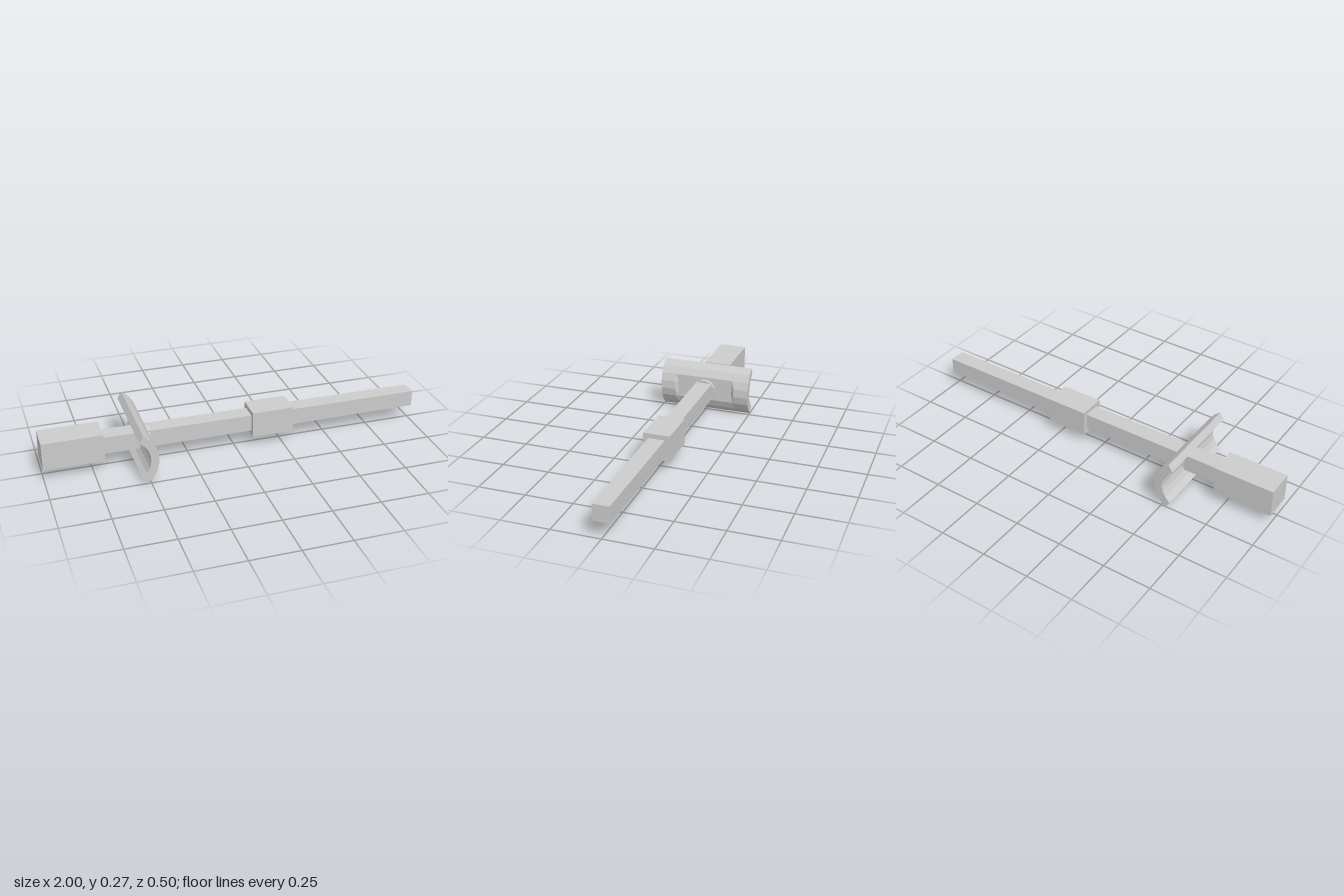
import * as THREE from 'three';

const material = new THREE.MeshStandardMaterial({ color: 0xcccccc, flatShading: true });
const guardMaterial = new THREE.MeshStandardMaterial({ color: 0xcccccc, flatShading: true, side: THREE.DoubleSide });

// Box given by its limits on each axis
function block(name, [x0, x1], [y0, y1], [z0, z1]) {
  const mesh = new THREE.Mesh(new THREE.BoxGeometry(x1 - x0, y1 - y0, z1 - z0), material);
  mesh.name = name;
  mesh.position.set((x0 + x1) / 2, (y0 + y1) / 2, (z0 + z1) / 2);
  return mesh;
}

// Curved plate: an arc section swept along z, its crown planed flat in the middle
function guardGeometry() {
  const segments = 7, cx = -0.615, cy = 0.129, flatX = -0.472;
  const arc = (radius) => Array.from({ length: segments + 1 }, (_, i) => {
    const a = THREE.MathUtils.degToRad(-54 + (112 * i) / segments);
    return [cx + radius * Math.cos(a), cy + radius * Math.sin(a)];
  });
  const profile = [...arc(0.16), ...arc(0.119).reverse()];
  const n = profile.length;
  const stations = [[-0.25, false], [-0.17, false], [-0.154, true], [0.154, true], [0.17, false], [0.25, false]];
  const rings = stations.map(([z, planed]) =>
    profile.map(([x, y]) => [planed ? Math.min(x, flatX) : x, y, z]));

  const positions = [];
  const quad = (a, b, c, d) => positions.push(...a, ...b, ...c, ...a, ...c, ...d);
  for (let s = 0; s < rings.length - 1; s++) {
    for (let i = 0; i < n; i++) {
      const j = (i + 1) % n;
      quad(rings[s][i], rings[s][j], rings[s + 1][j], rings[s + 1][i]);
    }
  }
  // End caps
  const back = rings[0], front = rings[rings.length - 1];
  for (let i = 0; i < segments; i++) {
    const k = n - 1 - i;
    quad(front[i], front[i + 1], front[k - 1], front[k]);
    quad(back[k], back[k - 1], back[i + 1], back[i]);
  }
  const geometry = new THREE.BufferGeometry();
  geometry.setAttribute('position', new THREE.Float32BufferAttribute(positions, 3));
  geometry.computeVertexNormals();
  return geometry;
}

export function createModel() {
  const group = new THREE.Group();
  group.name = 'poleWithGuard';

  // Square shaft, slightly thinner at the far end
  const shaft = block('shaft', [-0.72, 1], [0.082, 0.174], [-0.047, 0.043]);
  const p = shaft.geometry.attributes.position;
  for (let i = 0; i < p.count; i++) {
    if (p.getX(i) > 0) p.setXYZ(i, p.getX(i), p.getY(i) * 0.92, p.getZ(i) * 0.94);
  }
  shaft.geometry.computeVertexNormals();
  group.add(shaft);

  // Grip block at the rear and collar along the shaft
  group.add(block('gripBlock', [-1, -0.69], [0.055, 0.203], [-0.081, 0.068]));
  group.add(block('collar', [0.085, 0.305], [0.059, 0.197], [-0.072, 0.068]));

  // Curved hand guard
  const guard = new THREE.Mesh(guardGeometry(), guardMaterial);
  guard.name = 'guard';
  group.add(guard);

  // Round sleeve where the shaft passes through the guard
  const sleeve = new THREE.Mesh(new THREE.CylinderGeometry(0.06, 0.06, 0.05, 16), material);
  sleeve.name = 'sleeve';
  sleeve.rotation.z = Math.PI / 2;
  sleeve.position.set(-0.477, 0.128, -0.002);
  group.add(sleeve);

  return group;
}
